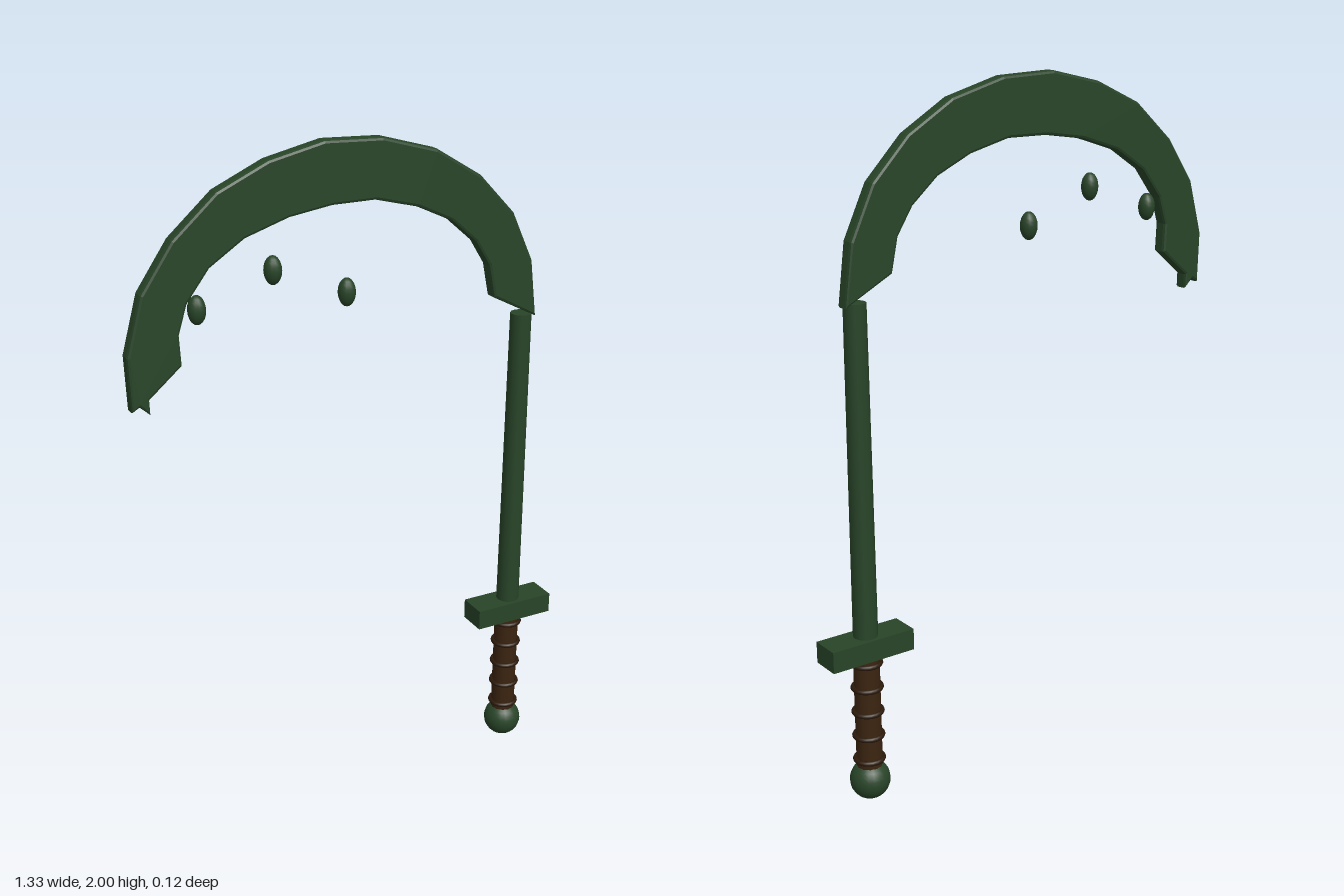
import * as THREE from 'three';

export function createModel() {
  const model = new THREE.Group();
  model.name = 'sickle';
  const material = (name, color) => {
    const m = new THREE.MeshStandardMaterial({ color });
    m.name = name;
    return m;
  };
  const green = material('darkGreen', 0x284428);
  const brown = material('gripBrown', 0x3b2410);
  const darkBrown = material('wrapBrown', 0x2c1a0b);

  const add = (name, geometry, mat, x, y, z = 0) => {
    const mesh = new THREE.Mesh(geometry, mat);
    mesh.name = name;
    mesh.position.set(x, y, z);
    model.add(mesh);
    return mesh;
  };

  // Curved blade: outer edge, then inner edge back to the notched tip
  const outline = [
    [-0.66, 1.35], [-0.665, 1.5], [-0.62, 1.66], [-0.53, 1.79], [-0.405, 1.9],
    [-0.26, 1.965], [-0.1, 2.0], [0.07, 1.992], [0.235, 1.945], [0.375, 1.86],
    [0.485, 1.745], [0.553, 1.6], [0.574, 1.43],
    [0.43, 1.505], [0.41, 1.6], [0.363, 1.675], [0.283, 1.745], [0.177, 1.795],
    [0.05, 1.828], [-0.077, 1.828], [-0.204, 1.81], [-0.33, 1.77], [-0.43, 1.705],
    [-0.495, 1.62], [-0.52, 1.54], [-0.516, 1.457],
    [-0.61, 1.378], [-0.61, 1.336], [-0.638, 1.362],
  ];
  const blade = new THREE.ExtrudeGeometry(
    new THREE.Shape(outline.map(([x, y]) => new THREE.Vector2(x, y))),
    {
      depth: 0.024, bevelEnabled: true, bevelThickness: 0.01,
      bevelSize: 0.008, bevelOffset: -0.008, bevelSegments: 2,
    },
  );
  add('blade', blade, green, 0, 0, -0.012);

  // Drops hanging below the blade
  for (const [x, y] of [[-0.463, 1.595], [-0.246, 1.672], [-0.029, 1.582]]) {
    add('drop', new THREE.SphereGeometry(0.025, 12, 10), green, x, y).scale.y = 1.6;
  }

  // Shaft, guard, grip and pommel share one axis
  const axis = 0.536;
  add('shaft', new THREE.CylinderGeometry(0.031, 0.035, 0.96, 12), green, axis, 0.96);
  add('guard', new THREE.BoxGeometry(0.258, 0.062, 0.09), green, axis, 0.471);
  add('grip', new THREE.CylinderGeometry(0.037, 0.037, 0.36, 12), brown, axis, 0.27);
  for (let i = 0; i < 5; i++) {
    const ring = new THREE.TorusGeometry(0.04, 0.007, 8, 20);
    add('gripRing', ring, darkBrown, axis, 0.124 + i * 0.074).rotation.x = Math.PI / 2;
  }
  add('pommel', new THREE.SphereGeometry(0.058, 20, 14), green, axis, 0.058);

  return model;
}
